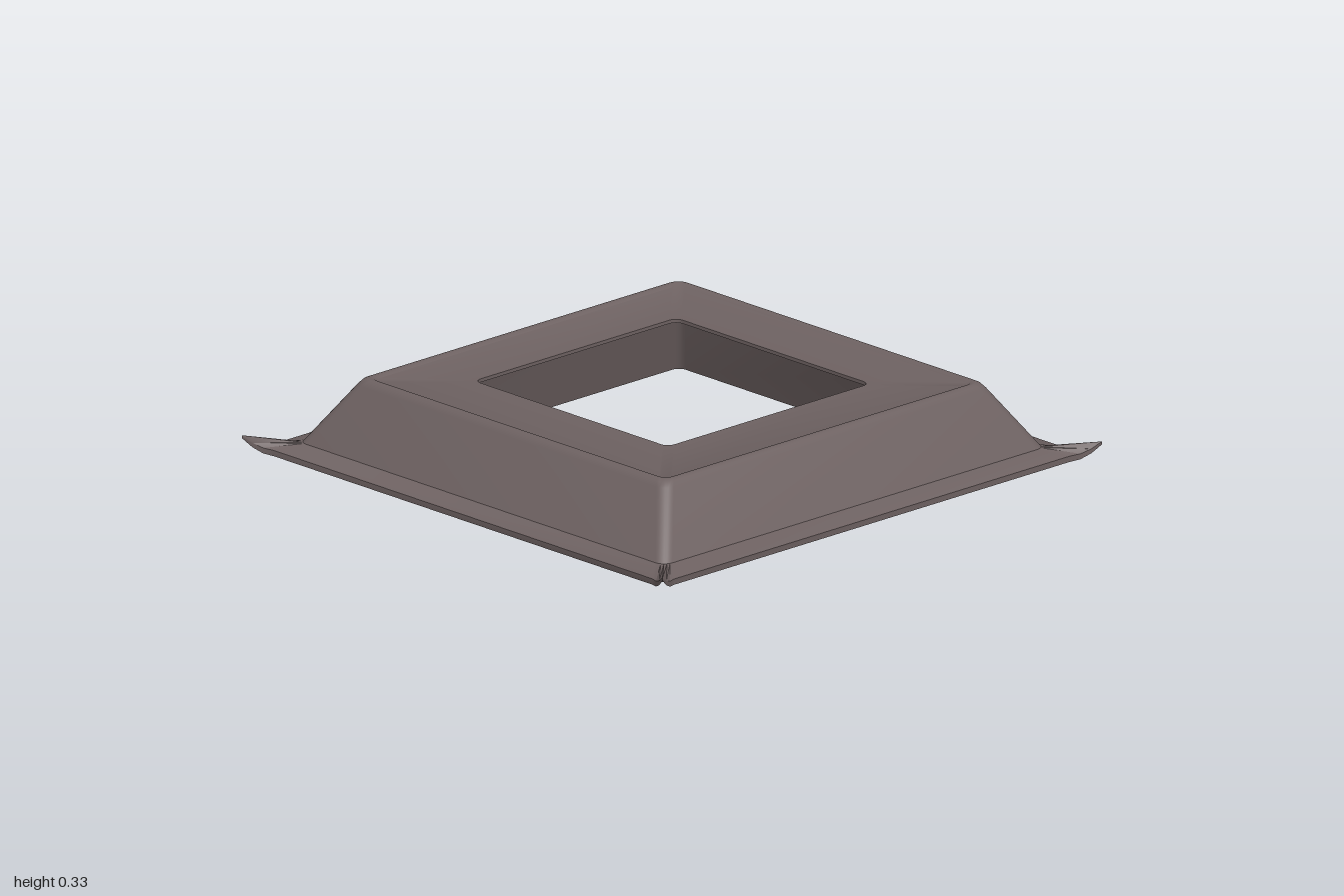
import * as THREE from 'three';
import { toCreasedNormals } from 'three/addons/utils/BufferGeometryUtils.js';

const ARC = 6; // segments per rounded corner

// Rounded square of half size d and corner radius r at height y.
// flare pulls each corner out to a sharp tip, lift raises it.
function outline([d, r, y, flare = 0, lift = 0]) {
  const points = [];
  for (let corner = 0; corner < 4; corner++) {
    for (let i = 0; i <= ARC; i++) {
      const a = (i / ARC) * Math.PI / 2;
      const peak = 1 - Math.abs((2 * i) / ARC - 1);
      let u = d - r + r * Math.cos(a);
      let v = d - r + r * Math.sin(a);
      if (flare) {
        const low = d - r + (flare - d + r) * peak;
        const high = d + (flare - d) * peak;
        [u, v] = i <= ARC / 2 ? [high, low] : [low, high];
      }
      const p = new THREE.Vector3(u, y + lift * peak * peak, v);
      points.push(p.applyAxisAngle(new THREE.Vector3(0, 1, 0), -corner * Math.PI / 2));
    }
  }
  return points;
}

// Joins successive outlines into a continuous band
function band(name, rows, material) {
  const rings = rows.map(outline);
  const n = rings[0].length;
  const index = [];
  for (let k = 0; k < rings.length - 1; k++) {
    for (let j = 0; j < n; j++) {
      const a = k * n + j, b = k * n + (j + 1) % n;
      index.push(a, b, b + n, a, b + n, a + n);
    }
  }
  const geometry = new THREE.BufferGeometry().setFromPoints(rings.flat());
  geometry.setIndex(index);
  const mesh = new THREE.Mesh(toCreasedNormals(geometry, 0.6), material);
  mesh.name = name;
  return mesh;
}

export function createModel() {
  const group = new THREE.Group();
  group.name = 'skirtRoof';
  const material = new THREE.MeshStandardMaterial({ color: 0x6e6262, side: THREE.DoubleSide });

  // Rows are [half size, corner radius, height, tip reach, tip lift]
  const holeTop = [0.46, 0.03, 0.32];
  const holeBottom = [0.46, 0.03, 0.308];
  const slopeFoot = [0.87, 0.04, 0.105];
  const eaveTop = [0.95, 0.05, 0.085, 1, 0.04];
  const eaveBottom = [0.95, 0.05, 0.065, 1, 0.05];
  const skirtTop = [0.83, 0.04, 0.055];
  const skirtFoot = [0.78, 0.03, 0];
  const liningFoot = [0.765, 0.03, 0];
  const liningTop = [0.69, 0.03, 0.3];

  group.add(
    // Flat top with its raised bead, running over into the sloping sides
    band('roofTopAndSlope', [
      holeTop, [0.695, 0.03, 0.32], [0.705, 0.035, 0.327], [0.718, 0.04, 0.328],
      [0.73, 0.04, 0.322], [0.742, 0.04, 0.307], slopeFoot,
    ], material),
    // Eaves with upturned corner tips
    band('eaves', [slopeFoot, eaveTop, eaveBottom, skirtTop], material),
    // Skirt below the eaves
    band('lowerSkirt', [skirtTop, skirtFoot, liningFoot], material),
    // Hollow inside and the ceiling around the opening
    band('innerLining', [liningFoot, liningTop, holeBottom], material),
    band('openingEdge', [holeBottom, holeTop], material),
  );
  return group;
}
